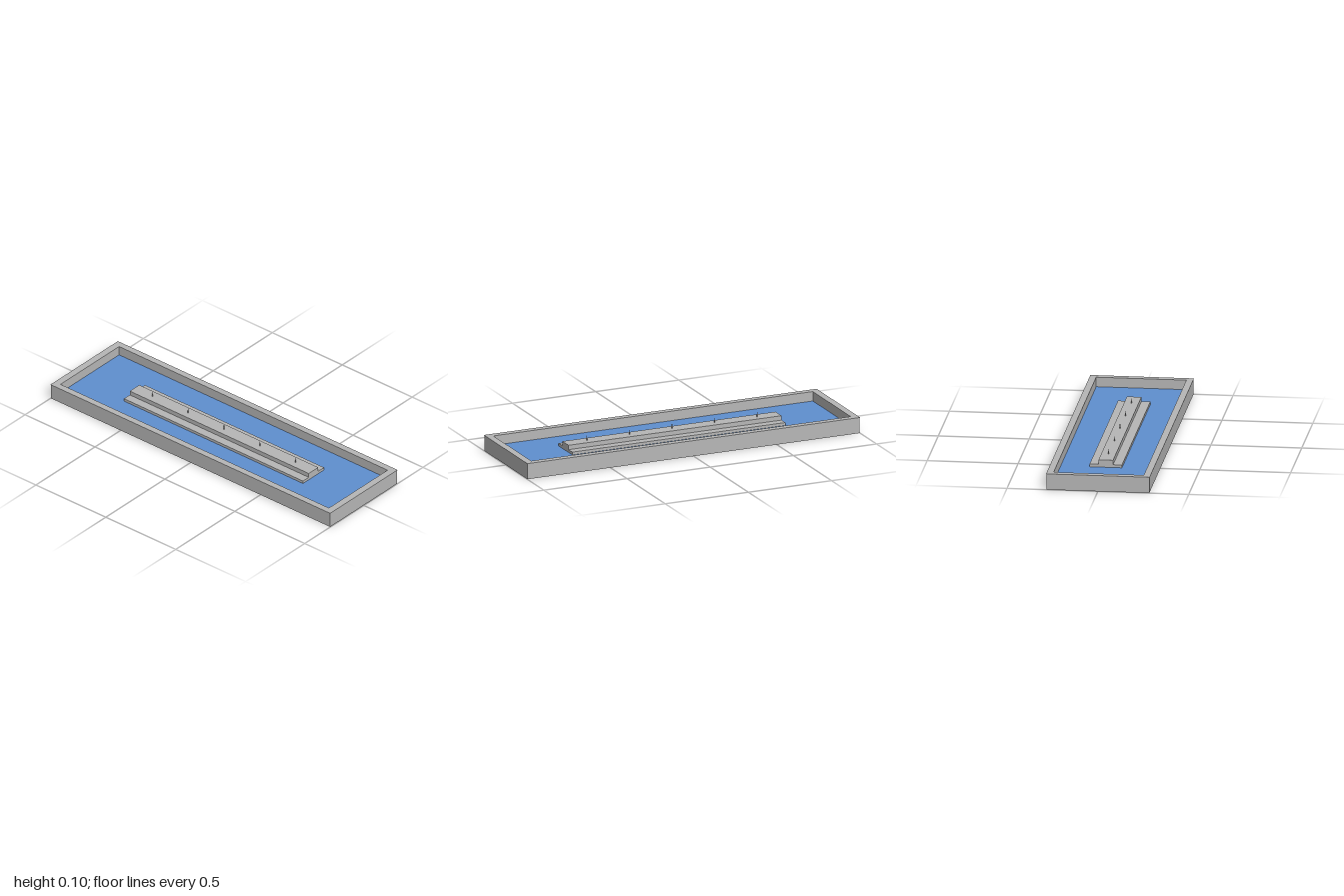
import * as THREE from 'three';
import { mergeGeometries } from 'three/addons/utils/BufferGeometryUtils.js';

const stone = new THREE.MeshStandardMaterial({ color: 0xb6b6b6, side: THREE.DoubleSide });
stone.name = 'stone grey';
const blue = new THREE.MeshStandardMaterial({ color: 0x5f8fcf, side: THREE.DoubleSide });
blue.name = 'water blue';

const INNER_X = 0.248, INNER_Z = 0.96;
const OUTER_X = 0.283, OUTER_Z = 0.998;
const WALL_TOP = 0.088;

// Four upright sheets around a rectangle, open above and below
function wallRing(halfX, halfZ, height, inward) {
  const sheets = [];
  for (let i = 0; i < 4; i++) {
    const across = i % 2 ? halfZ : halfX;
    const out = i % 2 ? halfX : halfZ;
    const sheet = new THREE.PlaneGeometry(2 * across, height);
    if (inward) sheet.rotateY(Math.PI);
    sheet.translate(0, height / 2, out);
    sheet.rotateY(i * Math.PI / 2);
    sheets.push(sheet);
  }
  return mergeGeometries(sheets);
}

// Flat rectangular frame lying on y = 0
function frame(halfX, halfZ, holeX, holeZ, thickness) {
  const rect = (path, x, z) => path.moveTo(-x, -z).lineTo(x, -z).lineTo(x, z).lineTo(-x, z).closePath();
  const shape = rect(new THREE.Shape(), halfX, halfZ);
  shape.holes.push(rect(new THREE.Path(), holeX, holeZ));
  return new THREE.ExtrudeGeometry(shape, { depth: thickness, bevelEnabled: false }).rotateX(-Math.PI / 2);
}

export function createModel() {
  const model = new THREE.Group();
  model.name = 'reflectingPool';

  const add = (name, geometry, material, x = 0, y = 0, z = 0) => {
    const mesh = new THREE.Mesh(geometry, material);
    mesh.name = name;
    mesh.position.set(x, y, z);
    model.add(mesh);
  };
  const slab = (name, width, bottom, top, length) =>
    add(name, new THREE.BoxGeometry(width, top - bottom, length), stone, 0, (bottom + top) / 2, 0);

  // Basin: hollow walls, thin coping and a floor
  add('outerWall', wallRing(OUTER_X, OUTER_Z, WALL_TOP, false), stone);
  add('innerWall', wallRing(INNER_X, INNER_Z, WALL_TOP, true), stone);
  add('coping', frame(0.285, 1, INNER_X, INNER_Z, 0.002), stone, 0, WALL_TOP, 0);
  add('floor', new THREE.PlaneGeometry(2 * INNER_X, 2 * INNER_Z).rotateX(Math.PI / 2), stone);
  add('water', new THREE.PlaneGeometry(2 * INNER_X, 2 * INNER_Z).rotateX(-Math.PI / 2), blue, 0, 0.036, 0);

  // Stepped island
  slab('lowerStep', 0.178, 0.001, 0.052, 1.28);
  slab('upperStep', 0.08, 0.052, 0.077, 1.28);

  // Row of fountain nozzles: wider base, slim tip
  for (let i = -2; i <= 2; i++) {
    const z = i * 0.256;
    add('nozzleBase', new THREE.CylinderGeometry(0.003, 0.003, 0.014, 12), stone, 0, 0.084, z);
    add('nozzleTip', new THREE.CylinderGeometry(0.0015, 0.0015, 0.012, 12), stone, 0, 0.097, z);
  }
  return model;
}
